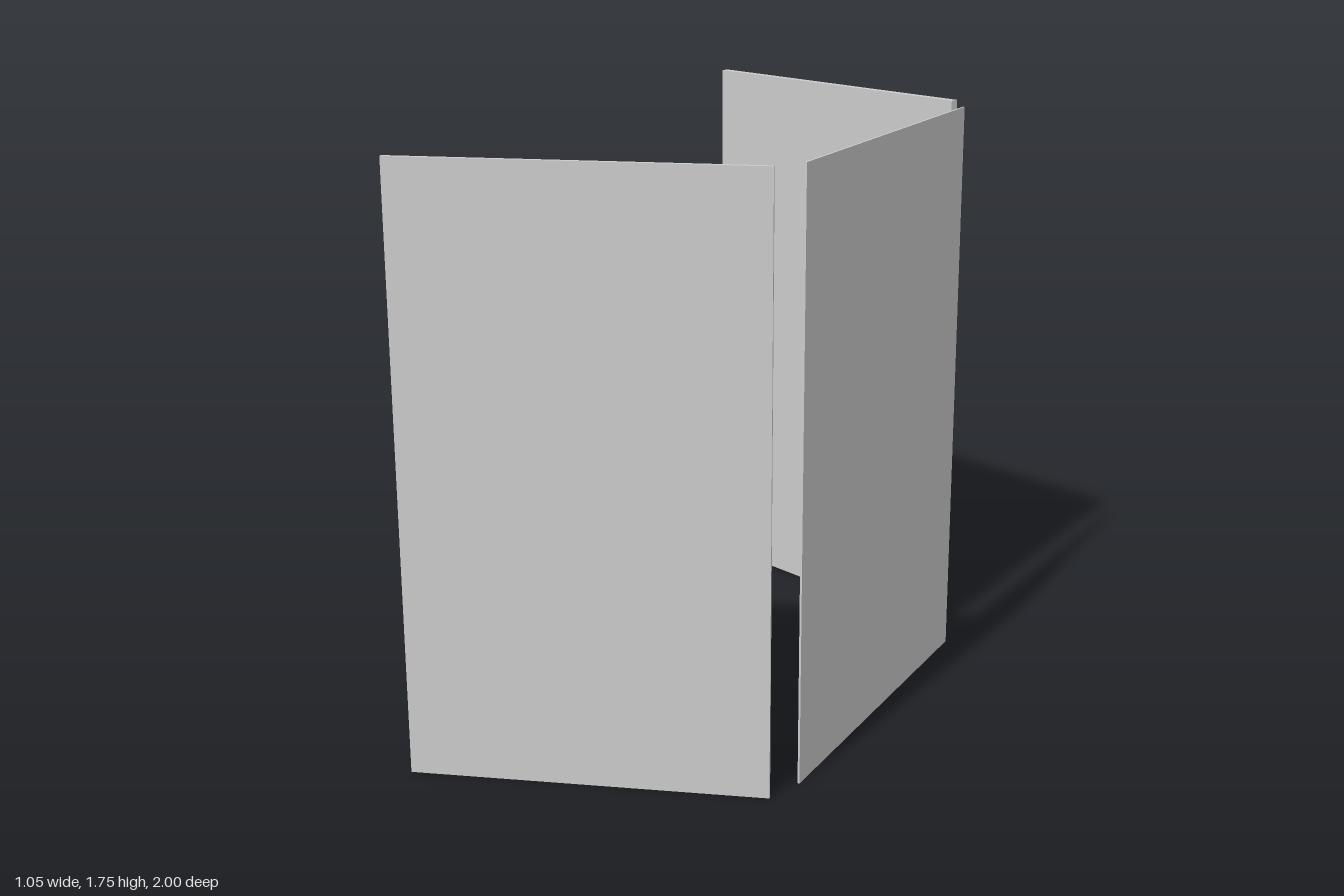
import * as THREE from 'three';

// Three free-standing upright panels around an open side
export function createModel() {
  const group = new THREE.Group();
  const material = new THREE.MeshStandardMaterial({ color: 0xcccccc });
  const height = 1.75;

  // Upright slab, turned about the vertical axis
  function panel(name, width, thickness, x, z, turn, h = height) {
    const mesh = new THREE.Mesh(new THREE.BoxGeometry(width, h, thickness), material);
    mesh.name = name;
    mesh.position.set(x, height / 2, z);
    mesh.rotation.y = turn;
    group.add(mesh);
  }

  panel('frontPanel', 1.02, 0.014, 0, 0.825, 0.33);
  panel('backPanel', 1.03, 0.025, -0.035, -0.818, -0.335);
  panel('sidePanel', 1.105, 0.006, 0.52, 0.003, Math.PI / 2, 1.744);

  return group;
}
